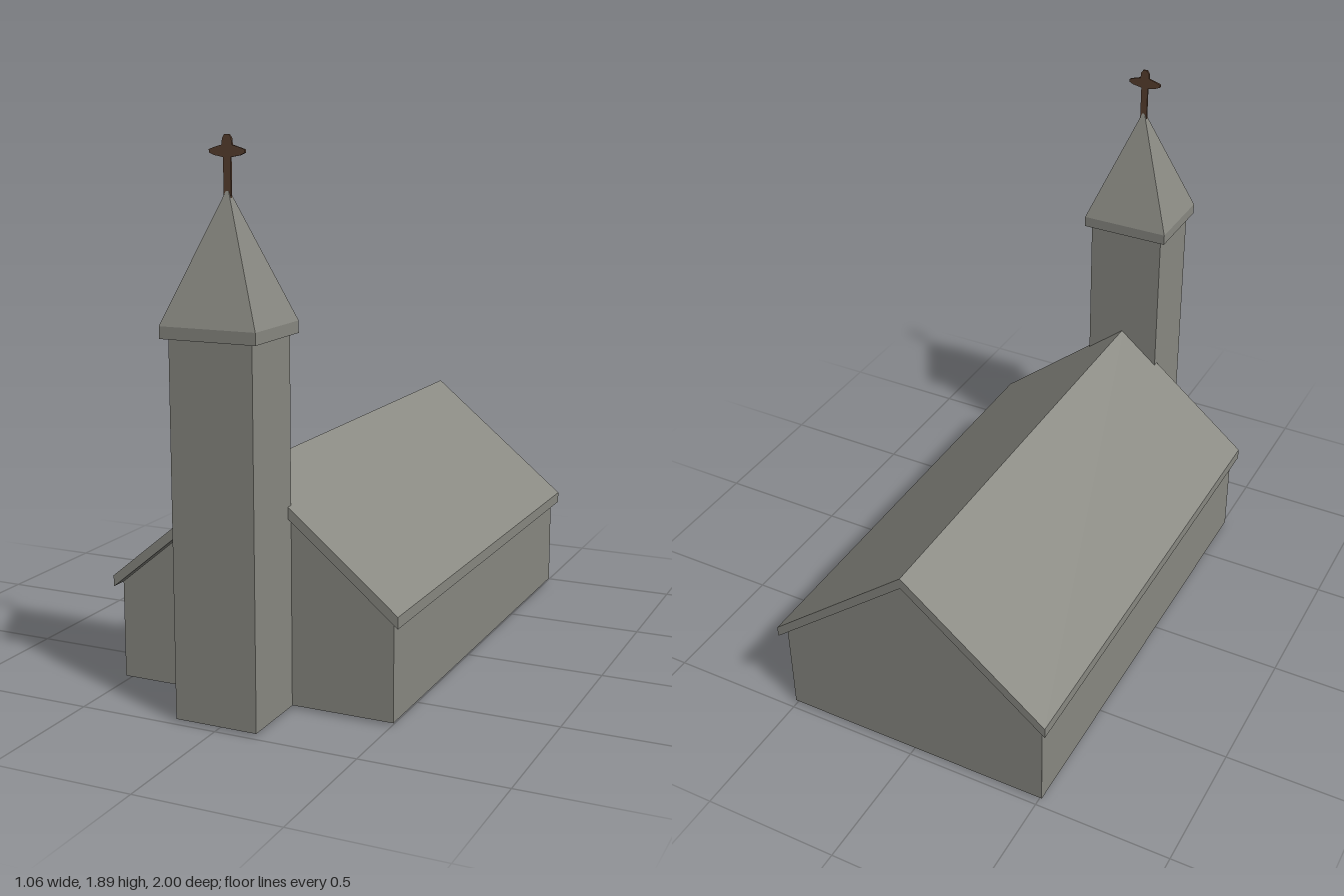
import * as THREE from 'three';

const mat = (name, color) => {
  const m = new THREE.MeshStandardMaterial({ color, flatShading: true, side: THREE.DoubleSide });
  m.name = name;
  return m;
};

export function createModel() {
  const stone = mat('stone grey', 0x8a8a83);
  const crossWood = mat('cross brown', 0x5a4030);
  const benchWood = mat('bench wood', 0x5e3f26);
  const iron = mat('dark iron', 0x30323e);
  const robe = mat('robe charcoal', 0x2c2e38);
  const paleWood = mat('pale wood', 0x9a7444);

  const model = new THREE.Group();
  model.name = 'church';

  const add = (parent, name, geo, material, x = 0, y = 0, z = 0) => {
    const mesh = new THREE.Mesh(geo, material);
    mesh.name = name;
    mesh.position.set(x, y, z);
    parent.add(mesh);
    return mesh;
  };
  const box = (parent, name, material, w, h, d, x, y, z) =>
    add(parent, name, new THREE.BoxGeometry(w, h, d), material, x, y, z);
  // Four-sided tube or pyramid with flat sides facing the axes
  const square = (w, h, d, top = 1) =>
    new THREE.CylinderGeometry(top * Math.SQRT1_2, Math.SQRT1_2, 1, 4, 1, true)
      .rotateY(Math.PI / 4).scale(w, h, d);
  const shape = (pts) => new THREE.Shape(pts.map(([x, y]) => new THREE.Vector2(x, y)));

  // Nave: open-bottomed shell with two gables
  const nave = new THREE.Group();
  nave.name = 'nave';
  nave.position.x = -0.003;
  model.add(nave);
  const gable = shape([[-0.508, 0.01], [0.508, 0.01], [0.508, 0.355], [0, 0.772], [-0.508, 0.355]]);
  add(nave, 'frontGable', new THREE.ShapeGeometry(gable), stone, 0, 0, 0.72);
  add(nave, 'backGable', new THREE.ShapeGeometry(gable).rotateY(Math.PI), stone, 0, 0, -0.975);
  for (const s of [-1, 1]) {
    add(nave, s > 0 ? 'leftWall' : 'rightWall',
      new THREE.PlaneGeometry(1.695, 0.345).rotateY(s * Math.PI / 2), stone, s * 0.508, 0.1825, -0.1275);
  }

  // Roof: one folded slab with overhanging eaves
  const roof = shape([[-0.532, 0.34], [0, 0.776], [0.532, 0.34], [0.532, 0.38], [0, 0.817], [-0.532, 0.38]]);
  add(nave, 'roof', new THREE.ExtrudeGeometry(roof, { depth: 1.745, bevelEnabled: false }), stone, 0, 0, -1);

  // Tower with spire and cross
  const tower = new THREE.Group();
  tower.name = 'tower';
  tower.position.set(-0.006, 0, 0.852);
  model.add(tower);
  add(tower, 'towerWalls', square(0.294, 1.255, 0.258), stone, 0, 0.6375, 0);
  box(tower, 'spireBase', stone, 0.338, 0.04, 0.296, 0, 1.285, 0);
  add(tower, 'spire', square(0.338, 0.425, 0.296, 0), stone, 0, 1.5175, 0);
  const half = [[0.013, 1.69], [0.013, 1.822], [0.046, 1.828], [0.063, 1.836],
    [0.063, 1.846], [0.046, 1.852], [0.018, 1.86], [0.016, 1.88], [0.008, 1.892]];
  const cross = shape([...half, ...half.map(([x, y]) => [-x, y]).reverse()]);
  add(tower, 'cross', new THREE.ExtrudeGeometry(cross, { depth: 0.008, bevelEnabled: false }), crossWood, 0, 0, -0.004);

  // Benches: iron end frames with timber slats, facing the front
  const makeBench = () => {
    const bench = new THREE.Group();
    bench.name = 'bench';
    for (const x of [-0.155, 0.155]) {
      box(bench, 'backLeg', iron, 0.016, 0.115, 0.016, x, 0.0675, -0.042);
      box(bench, 'frontLeg', iron, 0.016, 0.07, 0.016, x, 0.045, 0.035);
      box(bench, 'seatRail', iron, 0.016, 0.012, 0.08, x, 0.046, -0.004);
      box(bench, 'armRest', iron, 0.018, 0.01, 0.09, x, 0.083, -0.003);
    }
    for (let i = 0; i < 4; i++) {
      box(bench, 'seatSlat', benchWood, 0.33, 0.008, 0.015, 0, 0.054, 0.034 - i * 0.019);
    }
    for (let i = 0; i < 3; i++) {
      box(bench, 'backSlat', benchWood, 0.33, 0.015, 0.008, 0, 0.076 + i * 0.02, -0.034 - i * 0.003);
    }
    return bench;
  };
  for (let row = 0; row < 4; row++) {
    for (const s of [-1, 1]) {
      const bench = makeBench();
      bench.position.set(s * 0.24, 0, -0.6 + row * 0.28);
      model.add(bench);
    }
  }

  // Lectern in front of the benches
  const lectern = new THREE.Group();
  lectern.name = 'lectern';
  lectern.position.z = 0.46;
  model.add(lectern);
  box(lectern, 'lecternFoot', benchWood, 0.085, 0.016, 0.08, 0, 0.008, 0);
  box(lectern, 'lecternPost', benchWood, 0.05, 0.13, 0.045, 0, 0.08, 0);
  box(lectern, 'lecternTop', benchWood, 0.095, 0.012, 0.07, 0, 0.15, 0).rotation.x = -0.35;

  // Robed speaker behind the lectern
  const speaker = new THREE.Group();
  speaker.name = 'speaker';
  speaker.position.z = 0.56;
  model.add(speaker);
  const profile = [[0, 0], [0.036, 0], [0.028, 0.08], [0.034, 0.16], [0.03, 0.182], [0.01, 0.192]]
    .map(([r, y]) => new THREE.Vector2(r, y));
  add(speaker, 'robe', new THREE.LatheGeometry(profile, 10).scale(1, 1, 0.7), robe);
  add(speaker, 'head', new THREE.SphereGeometry(0.021, 10, 8), iron, 0, 0.212, 0);
  for (const s of [-1, 1]) {
    const arm = add(speaker, 'arm', new THREE.CylinderGeometry(0.01, 0.012, 0.09, 6), robe, s * 0.04, 0.135, -0.012);
    arm.rotation.set(0.4, 0, s * 0.12);
  }

  // Small shelf on the inside of the front wall
  box(model, 'wallShelf', paleWood, 0.14, 0.012, 0.012, 0.08, 0.32, 0.711);

  return model;
}
